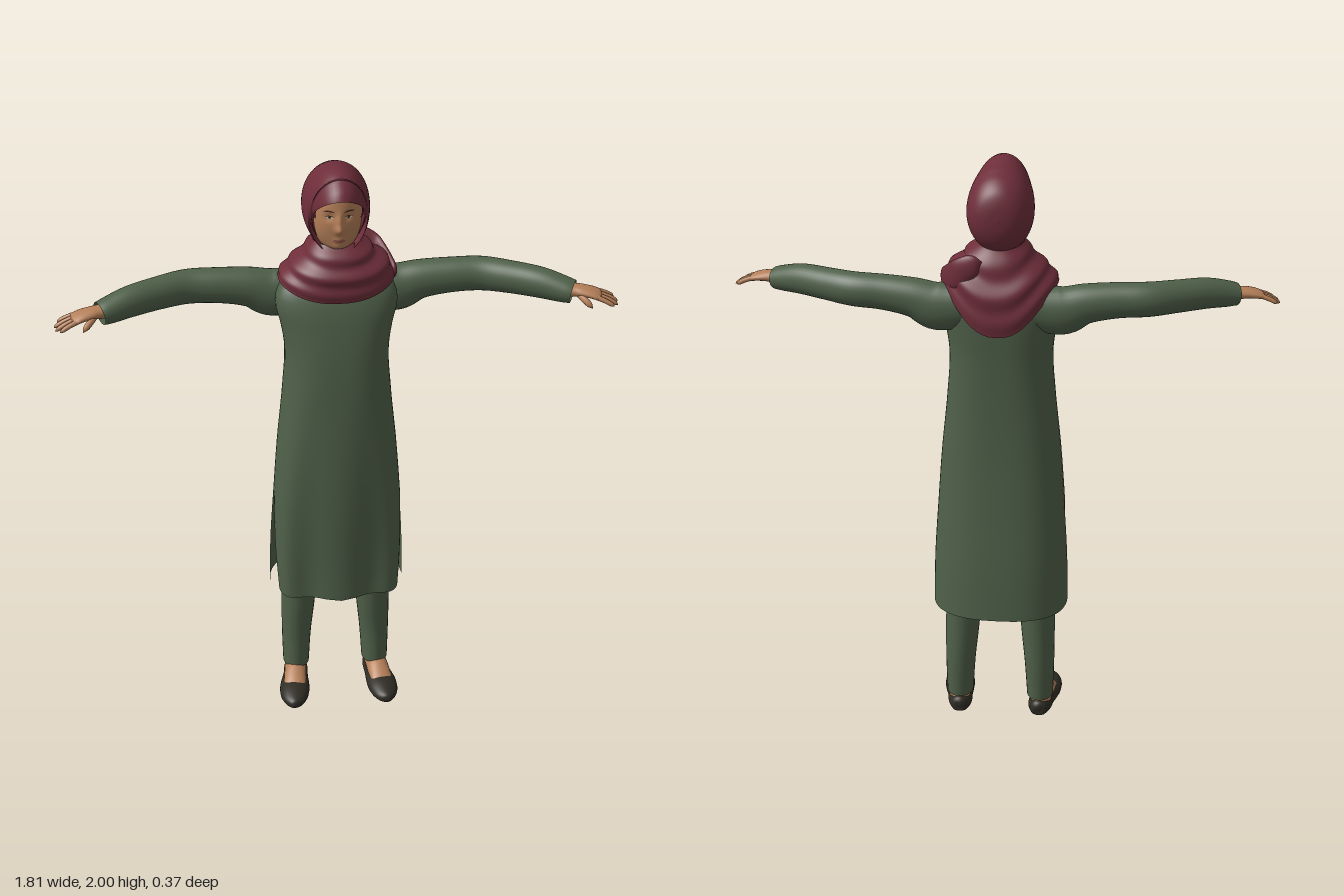
import * as THREE from 'three';
import { mergeGeometries, mergeVertices } from 'three/addons/utils/BufferGeometryUtils.js';

const { lerp, clamp } = THREE.MathUtils;
const V = (x, y, z) => new THREE.Vector3(x, y, z);
const mat = (name, color, side = THREE.FrontSide) => {
  const m = new THREE.MeshStandardMaterial({ color, side });
  m.name = name;
  return m;
};

// Surface from a rule f(u, v); the outside is along du x dv
function grid(f, nu, nv, closed = true) {
  const pos = [], idx = [], cols = closed ? nu : nu + 1;
  for (let j = 0; j <= nv; j++)
    for (let i = 0; i < cols; i++) pos.push(...f(i / nu, j / nv).toArray());
  for (let j = 0; j < nv; j++)
    for (let i = 0; i < nu; i++) {
      const k = (i + 1) % cols, a = j * cols + i, b = j * cols + k;
      idx.push(a, b, b + cols, a, b + cols, a + cols);
    }
  const g = new THREE.BufferGeometry();
  g.setAttribute('position', new THREE.Float32BufferAttribute(pos, 3));
  g.setIndex(idx);
  g.computeVertexNormals();
  return g;
}

// Smooth lookup in rows of [key, ...values]
function smoothTable(rows) {
  const it = new THREE.CubicInterpolant(rows.map(r => r[0]), rows.flatMap(r => r.slice(1)), rows[0].length - 1);
  return t => [...it.evaluate(clamp(t, rows[0][0], rows[rows.length - 1][0]))];
}

// Tapered limb through keys [x, y, z, radius along ref, radius across]
function limb(keys, ref, nu = 24, nv = 32) {
  const at = smoothTable(keys.map((k, i) => [i, ...k])), n = keys.length - 1;
  return grid((u, v) => {
    const k = at(v * n), a = at(v * n - 0.05), b = at(v * n + 0.05);
    const T = V(b[0] - a[0], b[1] - a[1], b[2] - a[2]).normalize();
    const N = ref.clone().addScaledVector(T, -ref.dot(T)).normalize();
    const B = T.clone().cross(N), t = u * Math.PI * 2;
    return V(k[0], k[1], k[2])
      .addScaledVector(N, Math.max(0, k[3]) * Math.cos(t))
      .addScaledVector(B, Math.max(0, k[4]) * Math.sin(t));
  }, nu, nv);
}
const mirror = (keys, s) => keys.map(([x, ...r]) => [x * s, ...r]);
const pow = (c, e) => Math.sign(c) * Math.abs(c) ** e;
const bell = (d, w) => Math.exp(-((d / w) ** 2));

// Tunic: front and back panels, welded at the sides above the slits
const tunicAt = smoothTable([ // y, half width, front z, back z
  [0.43, 0.232, 0.18, -0.185], [0.6, 0.228, 0.178, -0.172], [0.8, 0.215, 0.177, -0.152],
  [1.0, 0.2, 0.17, -0.135], [1.2, 0.18, 0.155, -0.127], [1.36, 0.171, 0.138, -0.127],
  [1.45, 0.183, 0.122, -0.13], [1.52, 0.198, 0.105, -0.13], [1.57, 0.188, 0.085, -0.124],
  [1.61, 0.15, 0.06, -0.11], [1.65, 0.07, 0.03, -0.08]]);
function tunicPanel(front) {
  return grid((u, v) => {
    const y = lerp(0.43, 1.65, v), [hw, zf, zb] = tunicAt(y);
    const slit = clamp((0.8 - y) / 0.37, 0, 1), low = clamp((1.25 - y) / 0.75, 0, 1);
    const gap = slit * (front ? 0.22 : 0.03);
    const t = lerp(gap, Math.PI - gap, u) - (front ? Math.PI : 0);
    const c = Math.cos(t), s = Math.abs(Math.sin(t));
    const e = front ? lerp(0.8, 0.55, low) : 0.78, zc = 0.01;
    const xn = pow(c, e);
    let z = zc + ((front ? zf : zb) - zc) * s ** e;
    if (front) z += 0.016 * low * s * (Math.cos(5.9 * xn) - 1); // hanging folds
    return V(hw * xn * (front ? 1 - 0.1 * slit : 1), y + (front ? 0.024 * slit * slit : 0), z);
  }, 36, 60, false);
}

// Head
const faceY = 1.835;
function bumps(x, y) {
  const ax = Math.abs(x);
  return 0.02 * bell(x, 0.012) * bell(y - 1.808, 0.015) + 0.011 * bell(x, 0.01) * bell(y - 1.835, 0.022)
    + 0.006 * bell(x, 0.022) * bell(y - 1.768, 0.012) + 0.013 * bell(x, 0.03) * bell(y - 1.742, 0.016)
    - 0.007 * bell(ax - 0.03, 0.015) * bell(y - 1.848, 0.012);
}
function headPoint(t, sn, grow) {
  const k = Math.max(0, 1 - sn * sn) ** 0.3, c = Math.cos(t), s = -Math.sin(t);
  const y = faceY + sn * (sn > 0 ? 0.14 : 0.115), x = 0.08 * k * c;
  return V(x + grow * c, y, 0.02 + (0.085 * k + grow) * s + (s > 0 ? bumps(x, y) * Math.min(1, s * 3) : 0));
}
const head = (low, grow, nv) => grid((u, v) =>
  headPoint(u * Math.PI * 2, Math.sin(lerp(Math.asin(low), Math.PI / 2, v)), grow), 88, nv);

// Thin oval painted onto the face
function facePatch(cx, cy, rx, ry, lift, tilt = 0) {
  return grid((u, v) => {
    const t = u * Math.PI * 2, r = 1 - v;
    const x = cx + rx * r * Math.cos(t), y = cy + ry * r * Math.sin(t) - tilt * (x - cx) ** 2;
    const sn = (y - faceY) / (y > faceY ? 0.14 : 0.115), k = (1 - sn * sn) ** 0.3;
    return V(x, y, 0.02 + 0.085 * k * Math.sqrt(1 - (x / (0.08 * k)) ** 2) + bumps(x, y) + lift);
  }, 20, 5);
}

// Scarf draped round the neck, with a longer point at the back
const cowlAt = smoothTable([ // v, half width, front z, back z
  [0, 0.188, 0.122, -0.16], [0.3, 0.172, 0.128, -0.163], [0.6, 0.128, 0.118, -0.14],
  [0.85, 0.095, 0.098, -0.112], [1, 0.076, 0.07, -0.09]]);
const cowl = () => grid((u, v) => {
  const t = u * Math.PI * 2, c = Math.cos(t), s = -Math.sin(t);
  const hem = s > 0 ? 1.605 - 0.045 * s * s : 1.605 - 0.145 * (-s) ** 3;
  const [hw, zf, zb] = cowlAt(v);
  const fold = 0.006 * Math.sin(v * 17 + 1.2 * c) * Math.sin(Math.PI * v);
  return V((hw + fold) * pow(c, 0.85), lerp(hem, 1.74, v) + 0.008 * c * Math.sin(Math.PI * v),
    ((s > 0 ? zf : -zb) + fold) * pow(s, 0.85));
}, 64, 36);

export function createModel() {
  const model = new THREE.Group();
  const green = mat('green cloth', 0x4f6049, THREE.DoubleSide);
  const wine = mat('wine scarf', 0x6e2e3a, THREE.DoubleSide);
  const band = mat('underscarf', 0x701f36);
  const skin = mat('skin', 0xb57f58);
  const shoe = mat('shoe', 0x2f2c24);
  const dark = mat('brow and iris', 0x3c281e);
  const white = mat('eye white', 0xb9aa9a);
  const lip = mat('lips', 0x95594a);
  const add = (name, geo, material, parent = model) => {
    const m = new THREE.Mesh(geo, material);
    m.name = name;
    parent.add(m);
  };
  const up = V(0, 1, 0), fwd = V(0, 0, 1);

  // Tunic
  const panels = mergeGeometries([tunicPanel(true), tunicPanel(false)]);
  panels.deleteAttribute('normal');
  const tunic = mergeVertices(panels, 1e-4);
  tunic.computeVertexNormals();
  add('tunic', tunic, green);

  // Head, underscarf and scarf
  add('face', head(-0.9999, 0, 64), skin);
  add('underscarf', head(0.72, 0.003, 16), band);
  add('scarfHood', limb([
    [0, 1.851, 0.077, 0.124, 0.073], [0, 1.853, 0.074, 0.14, 0.086], [0, 1.855, 0.062, 0.145, 0.097],
    [0, 1.85, 0.025, 0.143, 0.105], [0, 1.845, -0.03, 0.139, 0.108], [0, 1.845, -0.08, 0.122, 0.1],
    [0, 1.845, -0.12, 0.09, 0.076], [0, 1.845, -0.138, 0.048, 0.042], [0, 1.845, -0.143, 0, 0]], up, 48, 40), wine);
  add('scarfDrape', cowl(), wine);
  add('scarfTail', limb([
    [0.05, 1.7, -0.115, 0, 0], [0.08, 1.69, -0.115, 0.035, 0.016], [0.135, 1.65, -0.1, 0.045, 0.018],
    [0.17, 1.62, -0.05, 0.04, 0.016], [0.186, 1.61, 0.0, 0.028, 0.012], [0.188, 1.605, 0.02, 0, 0]], up), wine);
  add('lips', facePatch(0, 1.768, 0.02, 0.0065, 0.0015), lip);

  for (const s of [1, -1]) {
    const side = new THREE.Group();
    side.name = s > 0 ? 'leftSide' : 'rightSide';
    model.add(side);
    const part = (name, keys, ref, material, nu, nv) => add(name, limb(mirror(keys, s), ref, nu, nv), material, side);

    // Eye and brow
    add('eyeWhite', facePatch(s * 0.03, 1.847, 0.012, 0.0042, 0.0015), white, side);
    add('iris', facePatch(s * 0.03, 1.847, 0.0045, 0.0042, 0.0025), dark, side);
    add('upperLid', facePatch(s * 0.03, 1.852, 0.014, 0.0015, 0.0025, 10), dark, side);
    add('eyebrow', facePatch(s * 0.032, 1.869, 0.017, 0.0025, 0.0015, 12), dark, side);

    // Sleeve
    part('sleeve', [
      [0.1, 1.535, -0.06, 0.07, 0.058], [0.2, 1.525, -0.06, 0.081, 0.061], [0.28, 1.55, -0.056, 0.066, 0.057],
      [0.38, 1.563, -0.05, 0.059, 0.053], [0.48, 1.567, -0.042, 0.057, 0.052], [0.57, 1.567, -0.005, 0.054, 0.05],
      [0.66, 1.564, 0.04, 0.051, 0.048], [0.73, 1.553, 0.074, 0.043, 0.046], [0.76, 1.548, 0.087, 0.037, 0.044]],
      up, green, 32, 56);

    // Hand
    part('palm', [
      [0.72, 1.553, 0.07, 0.026, 0.03], [0.765, 1.553, 0.084, 0.021, 0.029], [0.79, 1.553, 0.092, 0.018, 0.033],
      [0.82, 1.549, 0.1, 0.015, 0.036], [0.843, 1.542, 0.107, 0.011, 0.033], [0.852, 1.539, 0.109, 0, 0]],
      up, skin, 20, 24);
    [0.06, 0.07, 0.068, 0.052].forEach((len, i) => { // index to little finger
      const off = 0.027 - i * 0.018, x = 0.835 - 0.35 * off, z = 0.104 + 0.9 * off;
      const dz = 0.18 + off * 6;
      part('finger', [[0, 0.0085], [0.5, 0.008], [0.85, 0.0068], [1, 0]].map(([k, r]) =>
        [x + len * k, 1.545 - len * k * (0.25 + 0.2 * k), z + len * k * dz, r, r]), up, skin, 10, 12);
    });
    part('thumb', [
      [0.775, 1.548, 0.1, 0.012, 0.012], [0.79, 1.537, 0.125, 0.011, 0.011],
      [0.805, 1.524, 0.14, 0.009, 0.009], [0.815, 1.513, 0.147, 0, 0]], up, skin, 10, 14);

    // Trouser leg and ankle
    part('trouserLeg', [
      [0.142, 0.065, -0.035, 0.059, 0.046], [0.139, 0.2, -0.038, 0.065, 0.052], [0.132, 0.34, -0.03, 0.074, 0.059],
      [0.126, 0.48, -0.022, 0.082, 0.063], [0.115, 0.7, -0.01, 0.09, 0.075], [0.105, 0.92, 0, 0.09, 0.08]],
      fwd, green, 28, 36);
    part('ankle', [
      [0.142, 0.03, -0.04, 0.042, 0.032], [0.142, 0.08, -0.04, 0.04, 0.032], [0.141, 0.18, -0.04, 0.04, 0.034]],
      fwd, skin);
    part('instep', [
      [0.142, 0.04, -0.07, 0, 0], [0.143, 0.044, -0.05, 0.032, 0.034], [0.147, 0.045, 0, 0.037, 0.038],
      [0.153, 0.036, 0.05, 0.028, 0.039], [0.158, 0.026, 0.09, 0.015, 0.034], [0.16, 0.02, 0.11, 0, 0]], up, skin);

    // Slip-on shoe with a flat sole
    const sole = limb(mirror([
      [0.14, 0.024, -0.094, 0, 0], [0.14, 0.024, -0.086, 0.028, 0.026], [0.142, 0.02, -0.05, 0.033, 0.041],
      [0.147, 0.016, 0, 0.034, 0.044], [0.155, 0.014, 0.06, 0.034, 0.052], [0.16, 0.013, 0.11, 0.032, 0.05],
      [0.163, 0.013, 0.15, 0.024, 0.037], [0.165, 0.013, 0.172, 0.015, 0.018], [0.165, 0.013, 0.179, 0, 0]], s), up, 28, 40);
    const p = sole.attributes.position;
    for (let i = 0; i < p.count; i++) p.setY(i, Math.max(0, p.getY(i)));
    sole.computeVertexNormals();
    add('shoe', sole, shoe, side);
  }
  return model;
}
